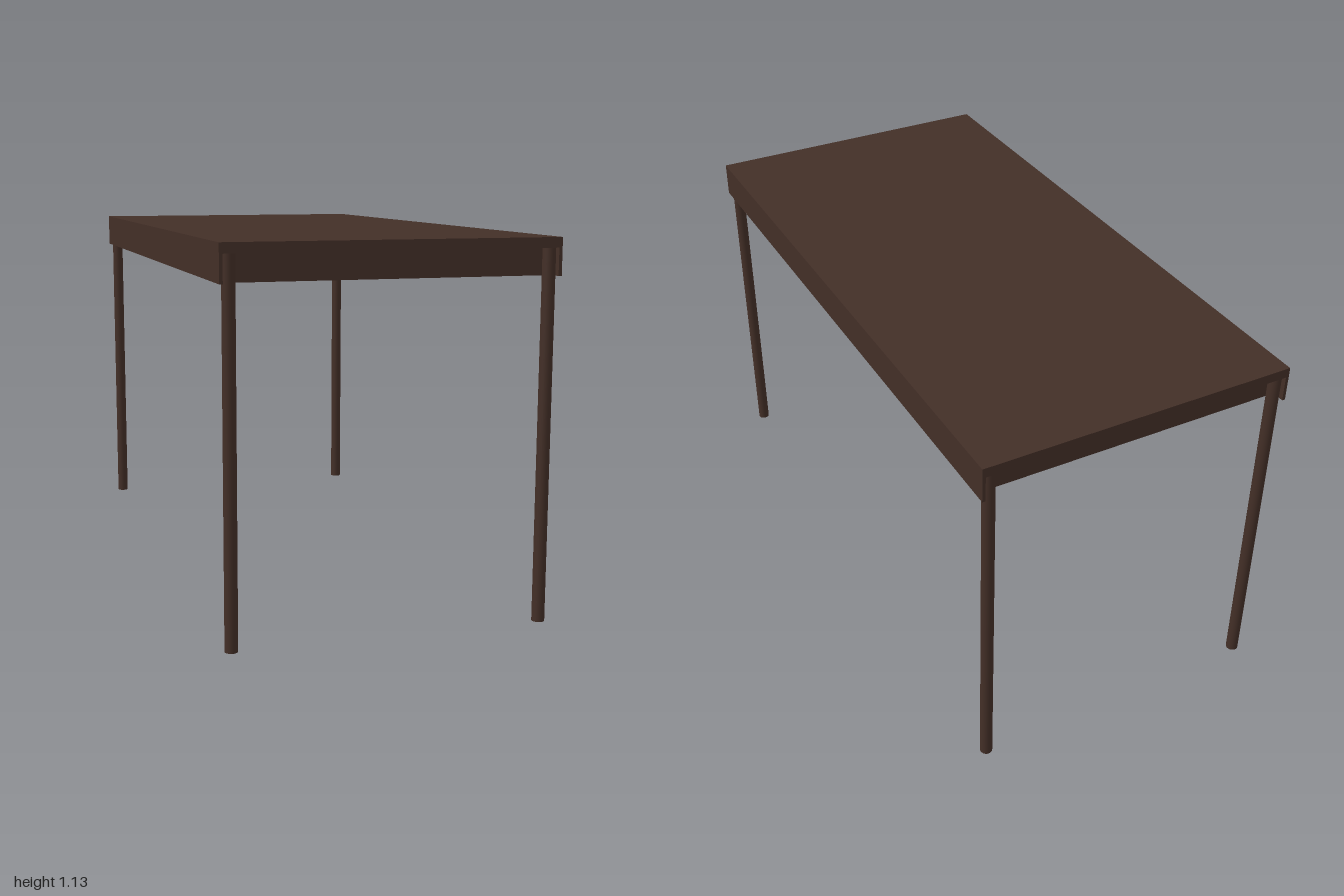
import * as THREE from 'three';

const WIDTH = 0.992, LENGTH = 2;
const TOP_Y = 1.13, SLAB_Y = 1.10, APRON_Y = 1.02;
const PANEL = 0.01, RECESS = 0.04, LEG_R = 0.019;

export function createModel() {
  const table = new THREE.Group();
  table.name = 'table';
  const wood = new THREE.MeshStandardMaterial({ color: 0x432f27 });

  function add(name, geometry, x, y, z) {
    const mesh = new THREE.Mesh(geometry, wood);
    mesh.name = name;
    mesh.position.set(x, y, z);
    table.add(mesh);
  }

  // Table top
  add('tableTop', new THREE.BoxGeometry(WIDTH, TOP_Y - SLAB_Y, LENGTH), 0, (TOP_Y + SLAB_Y) / 2, 0);

  // Closed apron body, set back at both ends to clear the legs
  const apronH = SLAB_Y - APRON_Y, apronMid = (SLAB_Y + APRON_Y) / 2;
  add('apronBody', new THREE.BoxGeometry(WIDTH - 2 * PANEL, apronH, LENGTH - 2 * RECESS), 0, apronMid, 0);

  const legGeometry = new THREE.CylinderGeometry(LEG_R, LEG_R, SLAB_Y, 24);
  for (const [sx, side] of [[1, 'left'], [-1, 'right']]) {
    // Long side panels run the full length
    add(side + 'SidePanel', new THREE.BoxGeometry(PANEL, apronH, LENGTH), sx * (WIDTH - PANEL) / 2, apronMid, 0);

    // Round legs stand in the end recesses
    for (const [sz, end] of [[1, 'Front'], [-1, 'Back']]) {
      add(side + end + 'Leg', legGeometry, sx * 0.466, SLAB_Y / 2, sz * 0.978);
    }
  }
  return table;
}
